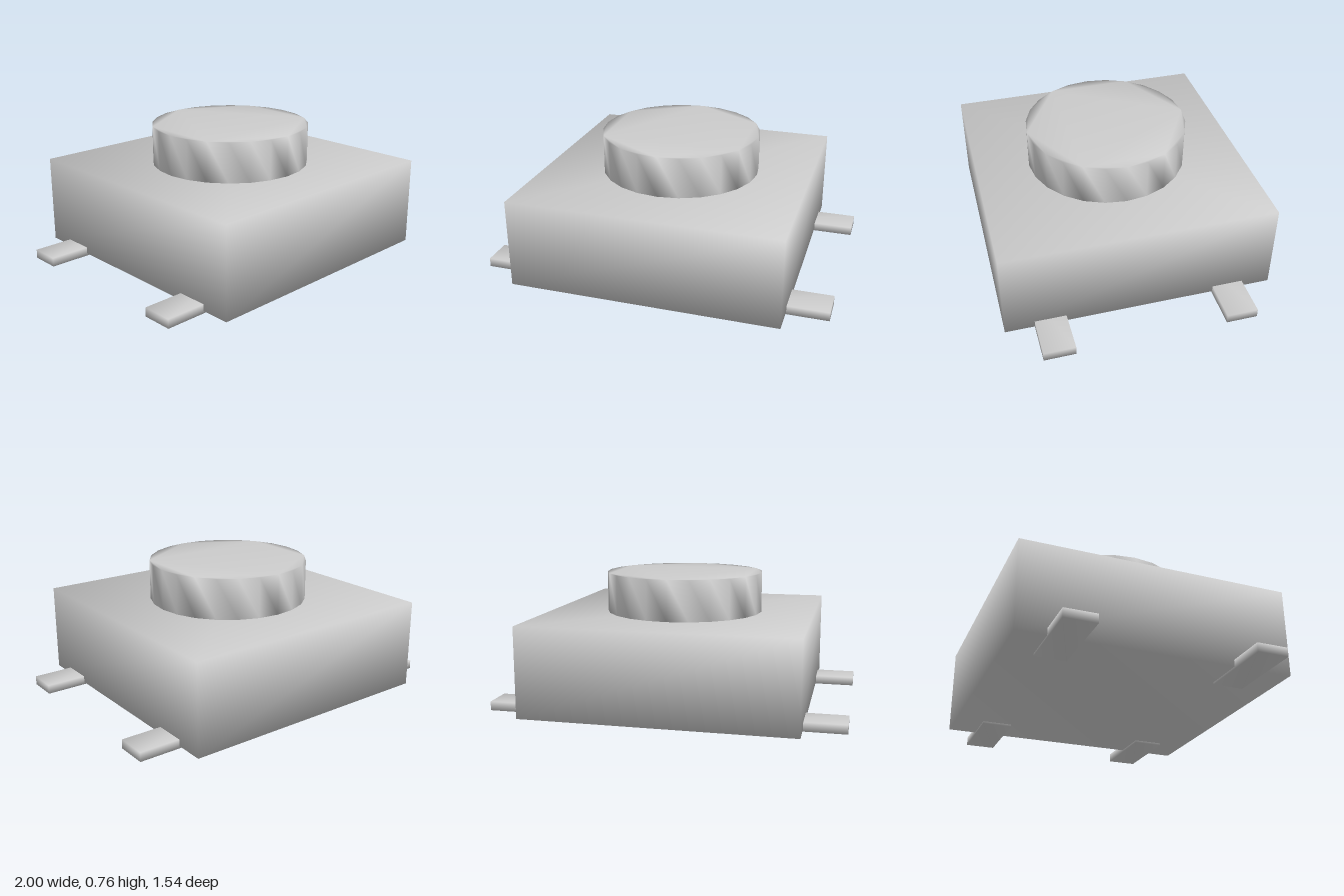
import * as THREE from 'three';
import { mergeVertices } from 'three/addons/utils/BufferGeometryUtils.js';

const grey = new THREE.MeshStandardMaterial({ color: 0xcccccc });
grey.name = 'grey';

// Weld shared corners so the shading runs smoothly over every edge.
function smoothMesh(geometry, name) {
  geometry.deleteAttribute('normal');
  geometry.deleteAttribute('uv');
  const welded = mergeVertices(geometry, 1e-4);
  welded.computeVertexNormals();
  const mesh = new THREE.Mesh(welded, grey);
  mesh.name = name;
  return mesh;
}

// Box given by its lower and upper corners.
function box(name, [x0, y0, z0], [x1, y1, z1]) {
  const mesh = smoothMesh(new THREE.BoxGeometry(x1 - x0, y1 - y0, z1 - z0), name);
  mesh.position.set((x0 + x1) / 2, (y0 + y1) / 2, (z0 + z1) / 2);
  return mesh;
}

export function createModel() {
  const model = new THREE.Group();
  model.name = 'pushButtonSwitch';

  // Square housing, raised slightly off the ground
  model.add(box('housing', [-0.768, 0.013, -0.768], [0.768, 0.525, 0.768]));

  // Round 24-sided button with plain flat caps
  const outline = [];
  for (let i = 0; i < 24; i++) {
    const a = (i / 24) * Math.PI * 2;
    outline.push(new THREE.Vector2(Math.cos(a) * 0.461, Math.sin(a) * 0.461));
  }
  const disc = new THREE.ExtrudeGeometry(new THREE.Shape(outline), { depth: 0.232, bevelEnabled: false });
  disc.rotateX(-Math.PI / 2);
  const button = smoothMesh(disc, 'button');
  button.position.y = 0.525;
  model.add(button);

  // Four flat terminals, reaching in under the housing
  for (const side of [1, -1]) {
    for (const end of [1, -1]) {
      const pin = box((end > 0 ? 'front' : 'back') + (side > 0 ? 'Left' : 'Right') + 'Terminal',
        [0.538, 0, 0.425], [1, 0.051, 0.602]);
      pin.position.x *= side;
      pin.position.z *= end;
      model.add(pin);
    }
  }
  return model;
}
